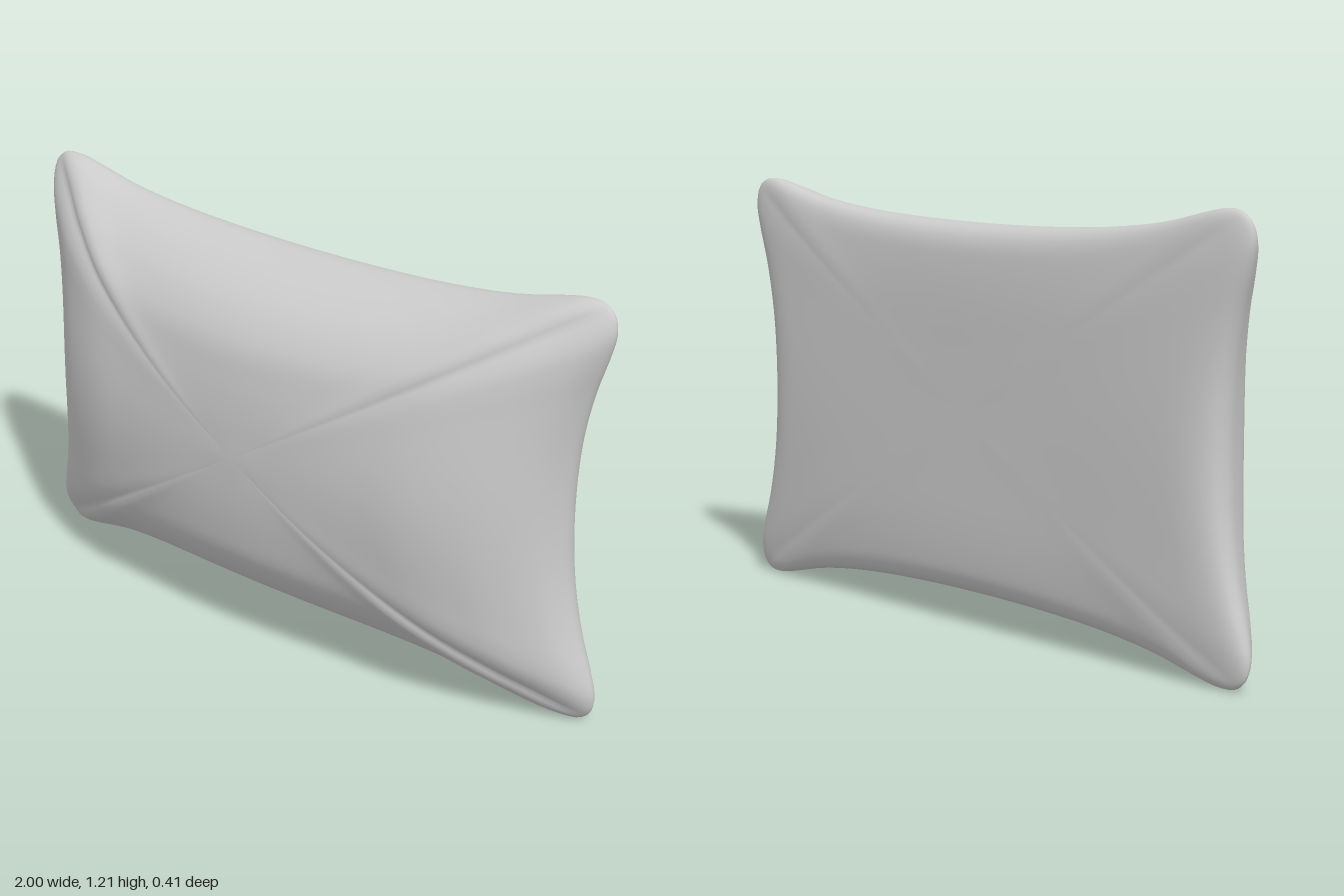
import * as THREE from 'three';

const CENTRE_Y = 0.605;

// One quarter of the pinched outline, from the side middle to the top middle
const QUARTER = [
  [0.905, 0], [0.911, 0.14], [0.926, 0.25], [0.952, 0.36], [0.985, 0.46], [1, 0.525],
  [0.99, 0.572], [0.958, 0.599], [0.91, 0.604], [0.85, 0.594], [0.7, 0.56], [0.5, 0.535],
  [0.25, 0.521], [0, 0.517],
];

// Cross-section from front centre to back centre:
// [outline scale, z towards an edge middle, z towards a corner]
const PROFILE = [
  [0, 0.205, 0.205], [0.25, 0.2, 0.192], [0.45, 0.188, 0.155], [0.62, 0.168, 0.1],
  [0.78, 0.115, 0.015], [0.88, 0.055, -0.05], [0.95, -0.01, -0.095], [0.985, -0.07, -0.12],
  [1, -0.115, -0.138], [0.99, -0.152, -0.15], [0.96, -0.175, -0.16], [0.9, -0.192, -0.17],
  [0.8, -0.2, -0.182], [0.6, -0.205, -0.198], [0.3, -0.205, -0.205], [0, -0.205, -0.205],
];

// Mirror the quarter into a smooth closed loop, counter-clockwise from the front
function outlinePoints(count) {
  const loop = [];
  for (const [sx, sy, flip] of [[1, 1, false], [-1, 1, true], [-1, -1, false], [1, -1, true]]) {
    const part = QUARTER.map(([x, y]) => new THREE.Vector3(x * sx, y * sy, 0));
    if (flip) part.reverse();
    loop.push(...part.slice(0, -1));
  }
  return new THREE.CatmullRomCurve3(loop, true).getPoints(count).slice(0, count);
}

function cushionGeometry() {
  const n = 160;
  const outline = outlinePoints(n);
  const rings = new THREE.CatmullRomCurve3(PROFILE.map((p) => new THREE.Vector3(...p))).getPoints(60);
  const positions = [];
  const indices = [];

  rings.forEach((ring, i) => {
    for (let j = 0; j < n; j++) {
      const { x, y } = outline[j];
      // 0 at the edge middles, 1 on the diagonals
      const a = Math.abs(x) / 0.95;
      const b = Math.abs(y) / 0.57;
      const corner = (Math.min(a, b) / Math.max(a, b)) ** 2;
      const s = Math.max(ring.x, 0);
      positions.push(x * s, CENTRE_Y + y * s, THREE.MathUtils.lerp(ring.y, ring.z, corner));
      if (i === 0) continue;
      const k = (j + 1) % n;
      const inner = (i - 1) * n;
      const outer = i * n;
      if (i < rings.length - 1) indices.push(inner + j, outer + j, outer + k);
      if (i > 1) indices.push(inner + j, outer + k, inner + k);
    }
  });

  const geometry = new THREE.BufferGeometry();
  geometry.setAttribute('position', new THREE.Float32BufferAttribute(positions, 3));
  geometry.setIndex(indices);
  geometry.computeVertexNormals();
  // One shared normal at each centre point
  const normals = geometry.attributes.normal;
  for (let j = 0; j < n; j++) {
    normals.setXYZ(j, 0, 0, 1);
    normals.setXYZ((rings.length - 1) * n + j, 0, 0, -1);
  }
  return geometry;
}

export function createModel() {
  const group = new THREE.Group();
  group.name = 'pillow';
  const cushion = new THREE.Mesh(cushionGeometry(), new THREE.MeshStandardMaterial({ color: 0xcccccc }));
  cushion.name = 'cushion';
  group.add(cushion);
  return group;
}
